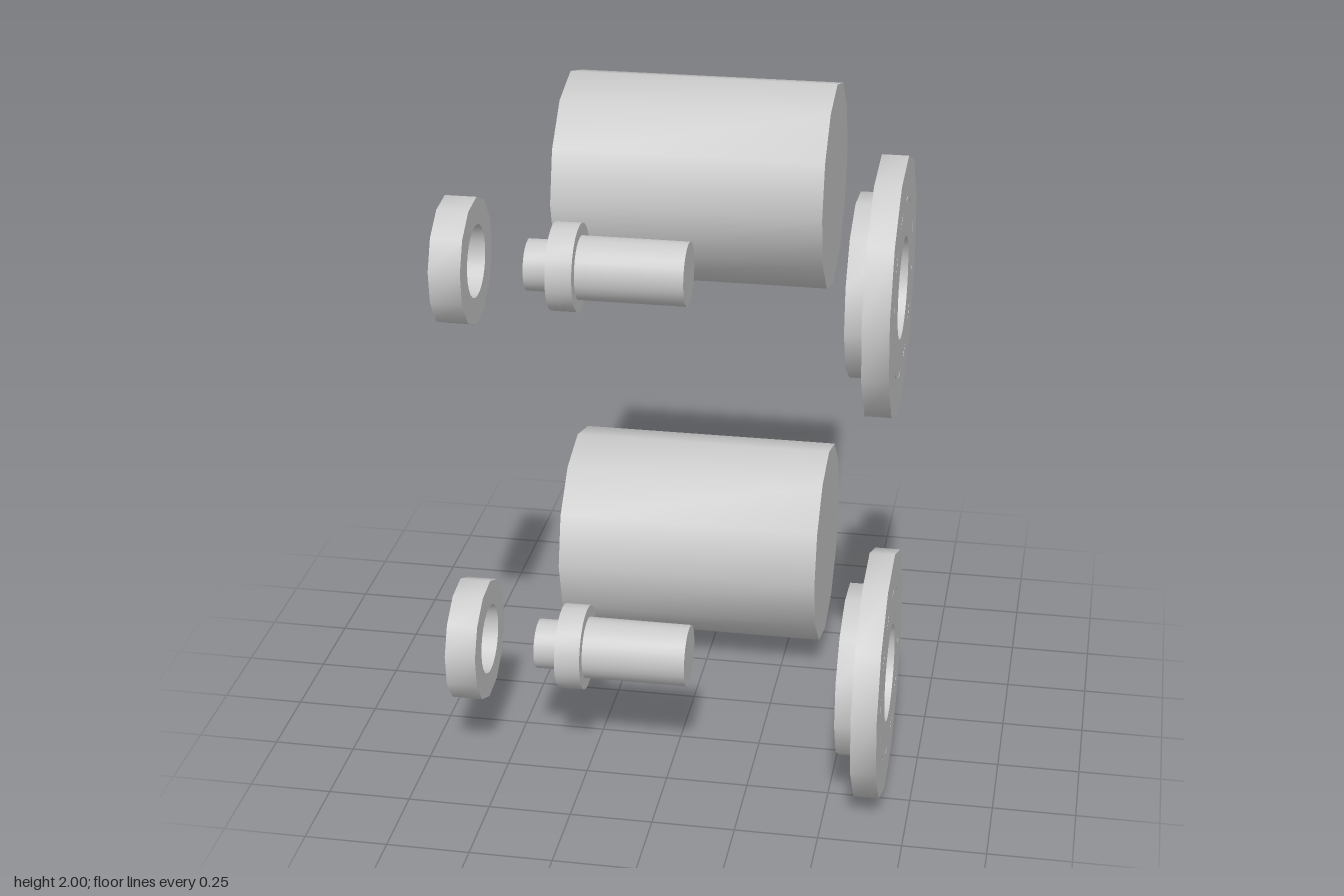
import * as THREE from 'three';
import { toCreasedNormals } from 'three/addons/utils/BufferGeometryUtils.js';

// Regular polygon outline in the (z, y) plane, first corner at the given angle in degrees
function polygon(radius, sides, degrees) {
  return Array.from({ length: sides }, (_, i) => {
    const a = THREE.MathUtils.degToRad(degrees) - (i / sides) * Math.PI * 2;
    return new THREE.Vector2(-radius * Math.cos(a), radius * Math.sin(a));
  });
}

// Prism along x from x0 to x1, optionally bored through; smooth sides and sharp rims
function disc(name, material, x0, x1, outer, hole) {
  const shape = new THREE.Shape(polygon(...outer));
  if (hole) shape.holes.push(new THREE.Path(polygon(...hole)));
  const geometry = new THREE.ExtrudeGeometry(shape, { depth: x1 - x0, bevelEnabled: false });
  geometry.rotateY(Math.PI / 2).translate(x0, 0, 0);
  const mesh = new THREE.Mesh(toCreasedNormals(geometry, 0.7), material);
  mesh.name = name;
  return mesh;
}

// One exploded set: large drum behind, shaft with its rings in front
function partSet(material) {
  const set = new THREE.Group();

  const drum = disc('drum', material, -0.467, 0.372, [0.327, 12, 0]);
  drum.position.z = -0.44;
  set.add(drum);

  const front = new THREE.Group();
  front.name = 'shaftAssembly';
  front.position.z = 0.393;
  front.add(
    // end ring
    disc('endRing', material, -0.667, -0.573, [0.189, 12, 9], [0.108, 24, 0]),
    // stepped shaft
    disc('shaftTip', material, -0.418, -0.34, [0.076, 24, 0]),
    disc('shaftCollar', material, -0.342, -0.264, [0.13, 24, 0]),
    disc('shaftBody', material, -0.267, 0.052, [0.094, 24, 0]),
    // flange rim with a hub seated in it, leaving narrow slits between their corners
    disc('flangeRim', material, 0.59, 0.666, [0.379, 12, 7.1], [0.264, 12, 7.1]),
    disc('flangeHub', material, 0.53, 0.666, [0.264, 12, 19.5], [0.148, 24, 0]),
    // buried ring that closes the slits
    disc('flangeSeat', material, 0.6, 0.625, [0.3, 12, 7.1], [0.2, 12, 7.1]),
  );
  set.add(front);
  return set;
}

export function createModel() {
  const model = new THREE.Group();
  const grey = new THREE.MeshStandardMaterial({ color: 0xcacaca });
  grey.name = 'grey metal';

  [['lowerSet', 0.376], ['upperSet', 1.624]].forEach(([name, y]) => {
    const set = partSet(grey);
    set.name = name;
    set.position.y = y;
    model.add(set);
  });
  return model;
}
